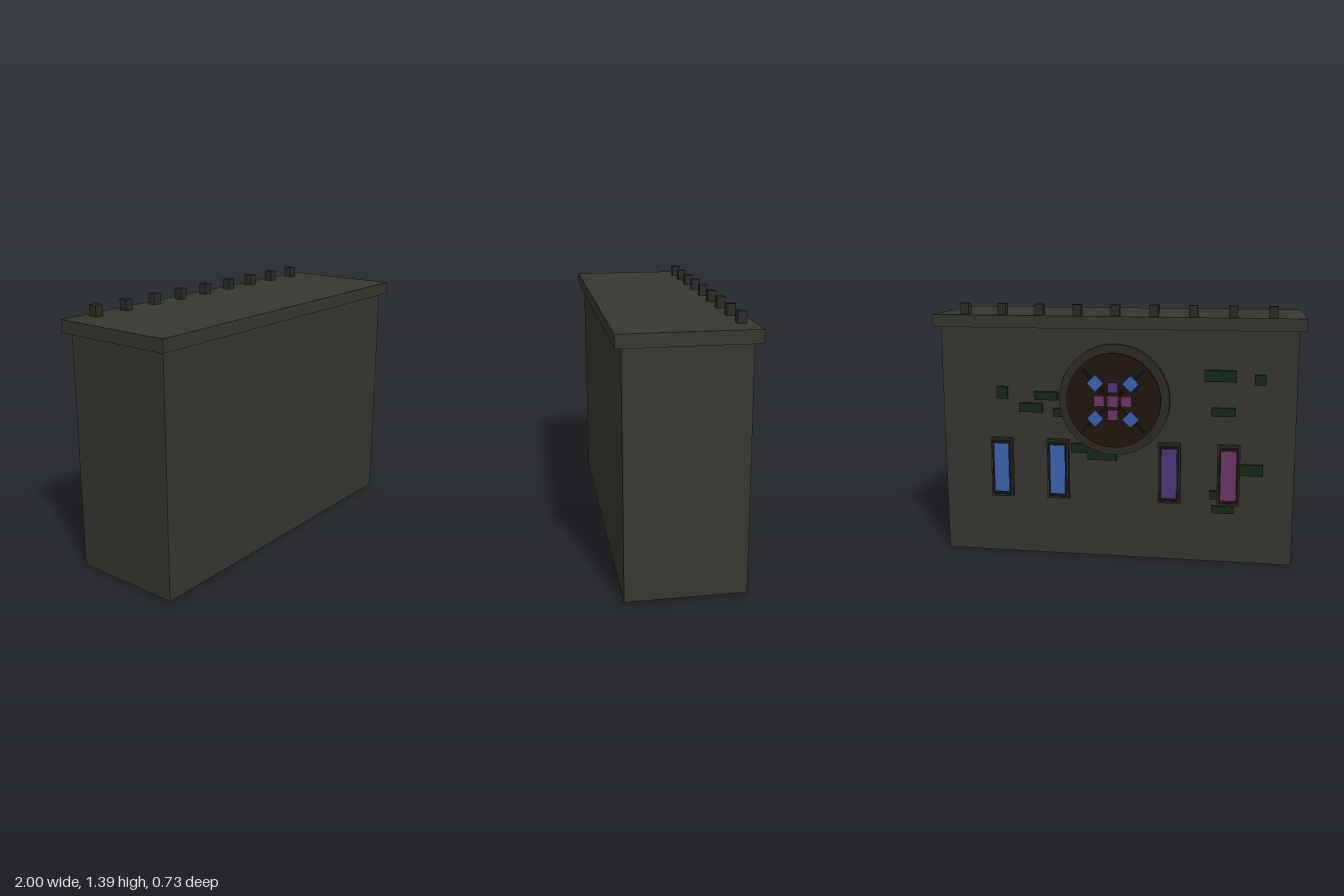
import * as THREE from 'three';

const mat = (color) => new THREE.MeshStandardMaterial({ color });
const stone = mat(0x383631);
const trim = mat(0x2c2b27);
const dark = mat(0x141210);
const plate = mat(0x21150f);
const moss = mat(0x17261a);
const blue = mat(0x3a62b0);
const violet = mat(0x50357a);
const rose = mat(0x6c3763);

export function createModel() {
  const root = new THREE.Group();

  const add = (name, geometry, material, x, y, z, parent = root) => {
    const mesh = new THREE.Mesh(geometry, material);
    mesh.name = name;
    mesh.position.set(x, y, z);
    parent.add(mesh);
    return mesh;
  };
  // Box given by its centre in x and y and its two z limits
  const slab = (name, material, x, y, w, h, z0, z1, parent) =>
    add(name, new THREE.BoxGeometry(w, h, z1 - z0), material, x, y, (z0 + z1) / 2, parent);
  // Disc lying in the wall plane
  const disc = (name, material, r, y, z0, z1, parent) => {
    const g = new THREE.CylinderGeometry(r, r, z1 - z0, 48).rotateX(Math.PI / 2);
    return add(name, g, material, 0, y, (z0 + z1) / 2, parent);
  };

  // Wall block and overhanging coping
  slab('wall', stone, 0, 0.635, 1.93, 1.27, -0.287, 0.33);
  slab('coping', stone, 0, 1.303, 2, 0.067, -0.322, 0.363);

  // Row of small merlons along the back edge
  for (let i = -4; i <= 4; i++) {
    slab('merlon', trim, i * 0.2075, 1.365, 0.046, 0.06, -0.277, -0.231);
  }

  // Round window: stone rim, backing plate, crossed bars and coloured panes
  const window = new THREE.Group();
  window.name = 'roundWindow';
  root.add(window);
  const cy = 0.89;
  disc('rim', trim, 0.3, cy, -0.322, -0.287, window);
  disc('backingPlate', plate, 0.255, cy, -0.342, -0.328, window);
  for (const s of [-1, 1]) {
    const bar = slab('bar', dark, 0, cy, 0.47, 0.014, -0.356, -0.346, window);
    bar.rotation.z = s * Math.PI / 4;
  }
  slab('centrePane', rose, 0, cy, 0.06, 0.06, -0.362, -0.348, window);
  for (let i = 0; i < 8; i++) {
    const a = i * Math.PI / 4;
    const diagonal = i % 2 === 1;
    const r = diagonal ? 0.135 : 0.074;
    const size = diagonal ? 0.064 : 0.056;
    const material = diagonal ? blue : i === 2 ? violet : rose;
    const pane = slab('pane', material, r * Math.cos(a), cy + r * Math.sin(a),
      size, size, -0.362, -0.35, window);
    pane.rotation.z = a;
  }

  // Four tall windows, each a frame around a coloured glass
  const frameShape = new THREE.Shape([[-1, -1], [1, -1], [1, 1], [-1, 1]]
    .map(([x, y]) => new THREE.Vector2(x * 0.06, y * 0.165)));
  frameShape.holes.push(new THREE.Path([[-1, -1], [-1, 1], [1, 1], [1, -1]]
    .map(([x, y]) => new THREE.Vector2(x * 0.052, y * 0.155))));
  const frameGeometry = new THREE.ExtrudeGeometry(frameShape, { depth: 0.034, bevelEnabled: false });
  for (const [x, glass] of [[0.62, blue], [0.305, blue], [-0.305, violet], [-0.62, rose]]) {
    const g = new THREE.Group();
    g.name = 'tallWindow';
    root.add(g);
    add('frame', frameGeometry, trim, x, 0.505, -0.356, g);
    slab('recess', dark, x, 0.505, 0.104, 0.31, -0.352, -0.322, g);
    slab('glass', glass, x, 0.505, 0.08, 0.27, -0.359, -0.346, g);
  }

  // Mossy bricks standing slightly proud of the wall: x, y, width, height
  const bricks = [
    [0.625, 0.913, 0.06, 0.065], [0.38, 0.9, 0.13, 0.045], [0.465, 0.833, 0.13, 0.05],
    [0.29, 0.81, 0.1, 0.045], [0.17, 0.615, 0.14, 0.05], [0.07, 0.575, 0.16, 0.045],
    [-0.565, 1.03, 0.17, 0.06], [-0.773, 1.013, 0.06, 0.055], [-0.585, 0.837, 0.13, 0.045],
    [-0.74, 0.525, 0.12, 0.06], [-0.57, 0.38, 0.1, 0.045], [-0.59, 0.3, 0.12, 0.04],
  ];
  for (const [x, y, w, h] of bricks) slab('mossyBrick', moss, x, y, w, h, -0.305, -0.28);

  return root;
}
